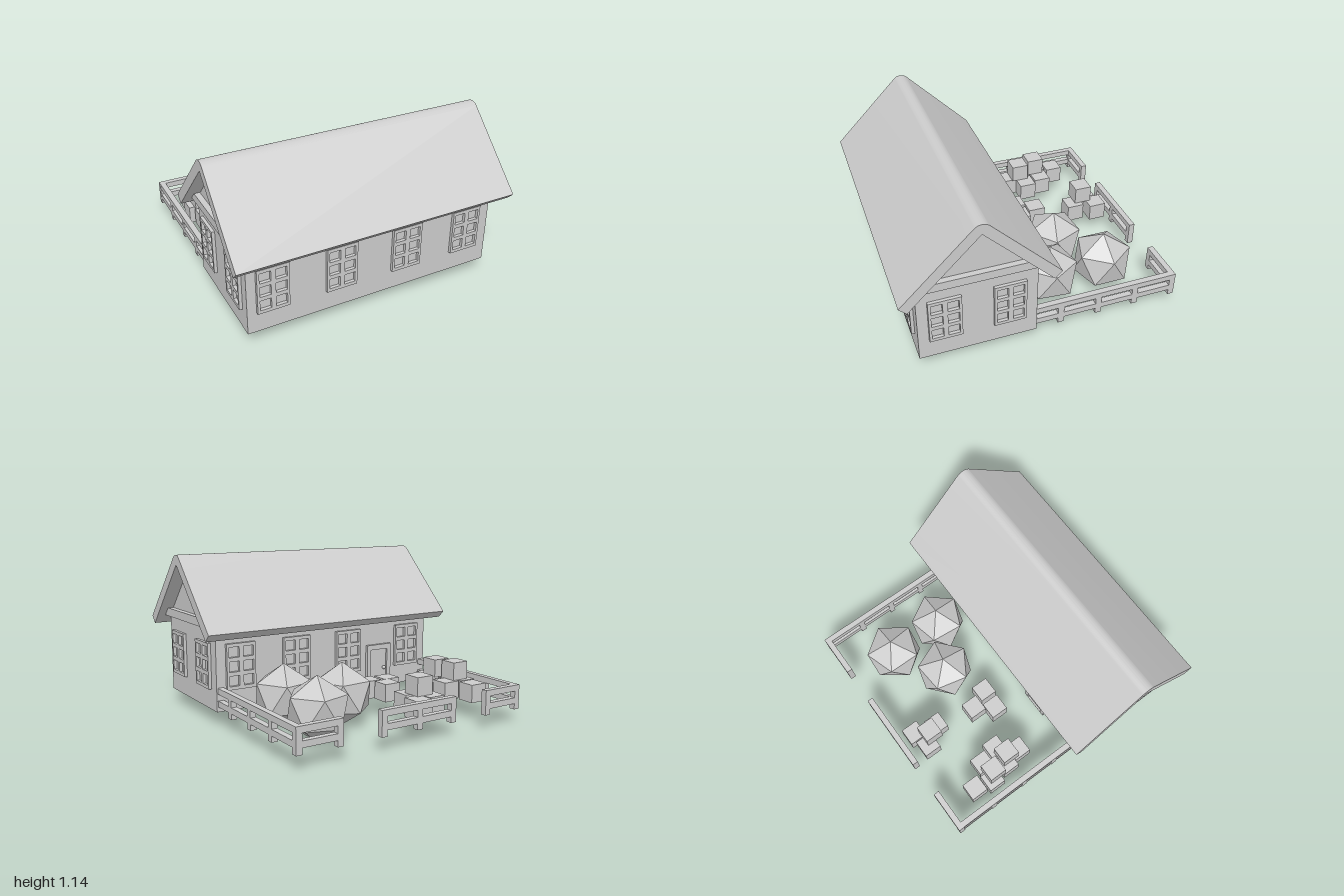
import * as THREE from 'three';
import { toCreasedNormals } from 'three/addons/utils/BufferGeometryUtils.js';

const material = new THREE.MeshStandardMaterial({ color: 0xcccccc });
const flatMaterial = new THREE.MeshStandardMaterial({ color: 0xcccccc, flatShading: true });

const RIDGE_Z = 0.455, WALL_X = 0.9, WALL_FRONT = 0.855, WALL_BACK = 0.055, GROUND = 0.1;

export function createModel() {
  const model = new THREE.Group();

  function add(name, geometry, x = 0, y = 0, z = 0, parent = model, mat = material) {
    const mesh = new THREE.Mesh(geometry, mat);
    mesh.name = name;
    mesh.position.set(x, y, z);
    parent.add(mesh);
    return mesh;
  }
  const box = (w, h, d) => new THREE.BoxGeometry(w, h, d);

  // Rectangle path centred on (x, y)
  function rect(path, x, y, w, h) {
    path.moveTo(x - w / 2, y - h / 2);
    path.lineTo(x + w / 2, y - h / 2);
    path.lineTo(x + w / 2, y + h / 2);
    path.lineTo(x - w / 2, y + h / 2);
    path.closePath();
    return path;
  }

  // Cross-section seen from the side, drawn out along x
  function alongX(shape, length) {
    const geometry = new THREE.ExtrudeGeometry(shape, { depth: length, bevelEnabled: false, curveSegments: 10 });
    geometry.translate(0, 0, -length / 2);
    geometry.rotateY(Math.PI / 2);
    return toCreasedNormals(geometry, 0.5);
  }
  const polygon = (points) => new THREE.Shape(points.map(([x, y]) => new THREE.Vector2(x, y)));

  // House body, gable and the beam below the gable
  add('walls', box(2 * WALL_X, 0.57, WALL_FRONT - WALL_BACK), 0, GROUND + 0.285, RIDGE_Z);
  add('gable', alongX(polygon([[-0.4, 0.67], [0.4, 0.67], [0, 1.075]]), 2 * WALL_X), 0, 0, RIDGE_Z);
  const beam = polygon([[-0.405, 0.67], [0.405, 0.67], [0.345, 0.73], [-0.345, 0.73]]);
  for (const side of [-1, 1]) add('gableBeam', alongX(beam, 0.04), side * 0.92, 0, RIDGE_Z);

  // Roof slab with a rounded ridge
  const roof = new THREE.Shape();
  roof.moveTo(-0.47, 0.605);
  roof.lineTo(0, 1.075);
  roof.lineTo(0.47, 0.605);
  roof.lineTo(0.52, 0.655);
  roof.absarc(0, 1.075, 0.07, Math.PI / 4, 3 * Math.PI / 4, false);
  roof.lineTo(-0.52, 0.655);
  roof.closePath();
  add('roof', alongX(roof, 2), 0, 0, RIDGE_Z);

  // Six-pane windows
  const windowShape = rect(new THREE.Shape(), 0, 0, 0.218, 0.32);
  for (const x of [-0.054, 0.054]) {
    for (const y of [-0.1, 0, 0.1]) windowShape.holes.push(rect(new THREE.Path(), x, y, 0.076, 0.072));
  }
  const windowGeometry = new THREE.ExtrudeGeometry(windowShape, { depth: 0.022, bevelEnabled: false });
  function addWindow(x, z, turn) {
    add('window', windowGeometry, x, 0.405, z).rotation.y = turn;
  }
  for (const x of [-0.728, -0.25, 0.235, 0.705]) addWindow(x, WALL_FRONT, 0);
  for (const x of [0.72, 0.28, -0.165, -0.71]) addWindow(x, WALL_BACK, Math.PI);
  for (const z of [0.675, 0.245]) {
    addWindow(WALL_X, z, Math.PI / 2);
    addWindow(-WALL_X, z, -Math.PI / 2);
  }

  // Back door
  const door = new THREE.Group();
  door.name = 'door';
  door.position.set(-0.445, GROUND, WALL_BACK);
  door.rotation.y = Math.PI;
  model.add(door);
  const doorFrame = rect(new THREE.Shape(), 0, 0.165, 0.22, 0.33);
  doorFrame.holes.push(rect(new THREE.Path(), 0, 0.147, 0.15, 0.29));
  add('doorFrame', new THREE.ExtrudeGeometry(doorFrame, { depth: 0.022, bevelEnabled: false }), 0, 0, 0, door);
  add('doorPanel', box(0.15, 0.29, 0.008), 0, 0.147, 0.004, door);
  add('doorKnob', new THREE.SphereGeometry(0.014, 16, 10), 0.05, 0.145, 0.018, door);

  // Fence runs: two rails from a to b, with a post at each given place
  const T = 0.042;
  function addFence(alongZ, a, b, offset, posts) {
    const fence = new THREE.Group();
    fence.name = 'fence';
    model.add(fence);
    const place = (name, length, height, at, y) => alongZ
      ? add(name, box(T, height, length), offset, y, at, fence)
      : add(name, box(length, height, T), at, y, offset, fence);
    for (const y of [0.157, 0.246]) place('fenceRail', b - a, T, (a + b) / 2, y);
    for (const p of posts) place('fencePost', T, 0.172, p, 0.181);
  }
  for (const side of [-1, 1]) addFence(true, -0.98, WALL_BACK, side * 0.87, [-0.125, -0.4, -0.675]);
  addFence(false, -0.893, -0.578, -0.962, [-0.872, -0.599]);
  addFence(false, -0.313, 0.286, -0.962, [-0.292, -0.013, 0.265]);
  addFence(false, 0.566, 0.891, -0.962, [0.587, 0.87]);

  // Faceted boulders standing on one corner
  const boulder = new THREE.IcosahedronGeometry(0.22, 0);
  const corner = new THREE.Vector3(0, 1, (1 + Math.sqrt(5)) / 2).normalize();
  boulder.applyQuaternion(new THREE.Quaternion().setFromUnitVectors(corner, new THREE.Vector3(0, 1, 0)));
  for (const [x, z, turn] of [[0.165, -0.365, 0.08], [0.51, -0.6, 0.31], [0.515, -0.185, 0.22]]) {
    add('boulder', boulder, x, 0.22, z, model, flatMaterial).rotation.y = turn;
  }

  // Crates in three heaps: x, z and layer
  const crate = box(0.128, 0.128, 0.128);
  const crates = [
    [-0.71, -0.715, 0], [-0.735, -0.575, 0], [-0.595, -0.565, 0], [-0.70, -0.425, 0],
    [-0.555, -0.425, 0], [-0.665, -0.295, 0], [-0.695, -0.54, 1], [-0.65, -0.39, 1],
    [-0.25, -0.805, 0], [-0.115, -0.84, 0], [-0.157, -0.672, 0], [-0.195, -0.745, 1],
    [-0.22, -0.37, 0], [-0.31, -0.24, 0], [-0.157, -0.23, 0],
  ];
  for (const [x, z, layer] of crates) add('crate', crate, x, 0.187 + layer * 0.128, z);

  return model;
}
